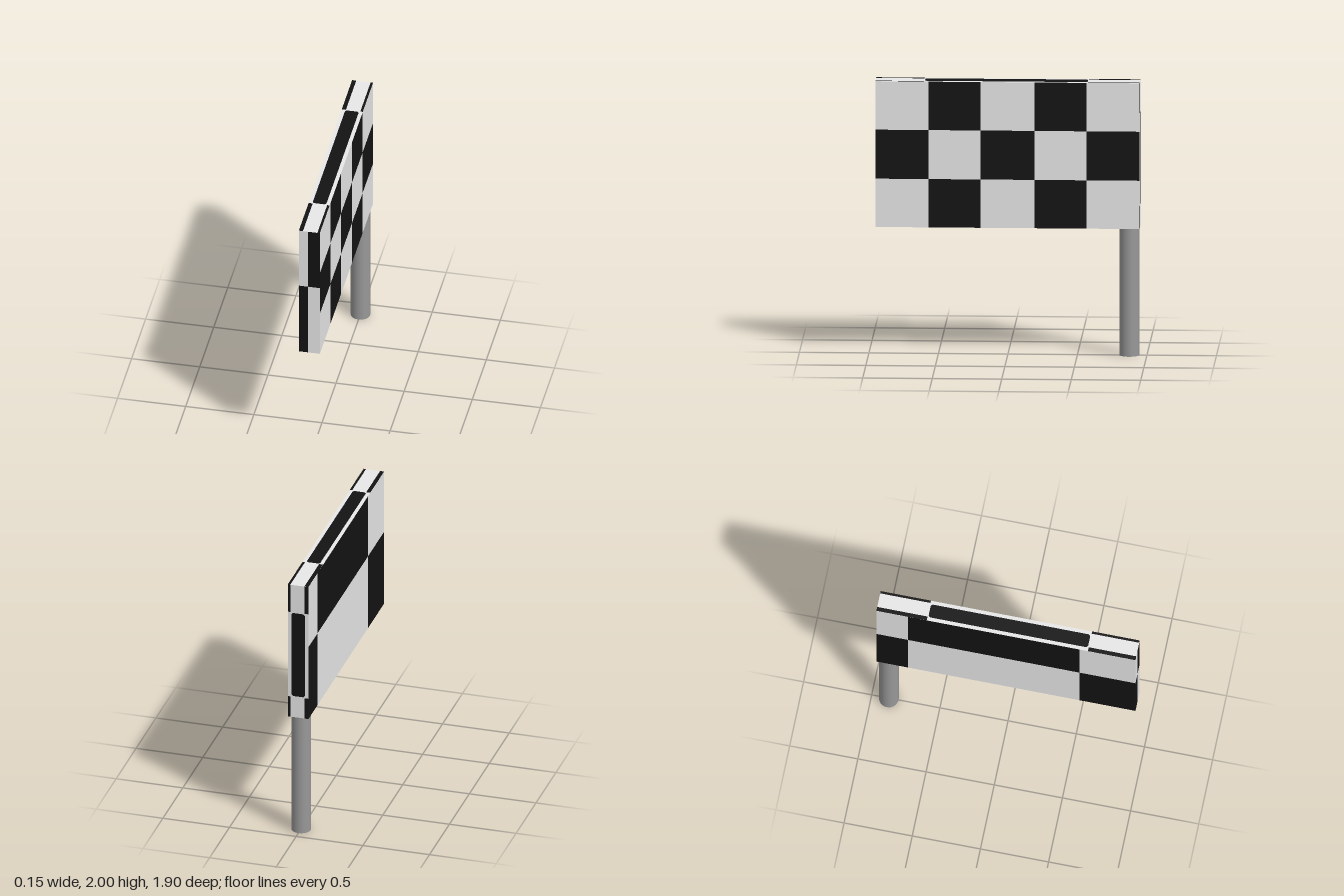
import * as THREE from 'three';

const white = new THREE.MeshStandardMaterial({ color: 0xf0f0f0 });
white.name = 'white';
const black = new THREE.MeshStandardMaterial({ color: 0x131313 });
black.name = 'black';
const grey = new THREE.MeshStandardMaterial({ color: 0x989898 });
grey.name = 'grey';

// Half sizes and vertical range of the board
const HX = 0.077, HZ = 0.95, BOTTOM = 0.935, TOP = 2;

function rect(parent, name, material, x0, x1, y0, y1, lift = 0) {
  const mesh = new THREE.Mesh(new THREE.PlaneGeometry(x1 - x0, y1 - y0), material);
  mesh.position.set((x0 + x1) / 2, (y0 + y1) / 2, lift);
  mesh.name = name;
  parent.add(mesh);
}

// Alternating squares between the given cuts, row 0 at the bottom
function checkerFace(name, xs, ys, firstBlack) {
  const face = new THREE.Group();
  face.name = name;
  for (let r = 0; r < ys.length - 1; r++) {
    for (let c = 0; c < xs.length - 1; c++) {
      const isBlack = ((r + c) % 2 === 0) === firstBlack;
      rect(face, isBlack ? 'blackSquare' : 'whiteSquare', isBlack ? black : white,
        xs[c], xs[c + 1], ys[r], ys[r + 1]);
    }
  }
  return face;
}

// Narrow edge: white, a black bar with clipped corners, black strips beyond its ends
function edgeFace(name, y0, y1, bar0, bar1, side) {
  const face = new THREE.Group();
  face.name = name;
  rect(face, 'whiteEdge', white, -HX, HX, y0, y1);
  const w = 0.05, c = 0.012;
  const bar = new THREE.Shape([
    [-w + c, bar0], [w - c, bar0], [w, bar0 + c], [w, bar1 - c],
    [w - c, bar1], [-w + c, bar1], [-w, bar1 - c], [-w, bar0 + c],
  ].map(([x, y]) => new THREE.Vector2(x, y)));
  const barMesh = new THREE.Mesh(new THREE.ShapeGeometry(bar), black);
  barMesh.position.z = 0.001;
  barMesh.name = 'blackBar';
  face.add(barMesh);
  for (const [a, b] of [[y0, bar0 - 0.006], [bar1 + 0.006, y1]]) {
    for (const [p, q] of [[-HX, -0.047], [0.059, HX]]) {
      rect(face, 'blackStrip', black, Math.min(p * side, q * side), Math.max(p * side, q * side), a, b, 0.001);
    }
  }
  return face;
}

export function createModel() {
  const model = new THREE.Group();
  model.name = 'checkeredFlag';
  const board = new THREE.Group();
  board.name = 'flagBoard';
  model.add(board);

  // Fine checker on the right-hand view side
  const fine = checkerFace('fineCheckerSide',
    [-HZ, -0.567, -0.193, 0.193, 0.57, HZ], [BOTTOM, 1.288, 1.646, TOP], false);
  fine.rotation.y = Math.PI / 2;
  fine.position.x = HX;

  // Coarse checker on the opposite side
  const coarse = checkerFace('coarseCheckerSide', [-HZ, -0.72, 0.54, HZ], [BOTTOM, 1.515, TOP], true);
  coarse.rotation.y = -Math.PI / 2;
  coarse.position.x = -HX;

  // Four-part front edge
  const front = checkerFace('frontEdge', [-HX, -0.01, HX], [BOTTOM, 1.515, TOP], true);
  front.position.z = HZ;

  // Barred edges: back, top and underside
  const back = edgeFace('backEdge', BOTTOM, TOP, 1.105, 1.775, -1);
  back.rotation.y = Math.PI;
  back.position.z = -HZ;

  const top = edgeFace('topEdge', -HZ, HZ, -0.595, 0.575, 1);
  top.rotation.x = -Math.PI / 2;
  top.position.y = TOP;

  const under = edgeFace('bottomEdge', -HZ, HZ, -0.8, -0.23, 1);
  under.rotation.x = Math.PI / 2;
  under.position.y = BOTTOM;

  board.add(fine, coarse, front, back, top, under);

  // Pole under the back end of the board
  const pole = new THREE.Mesh(new THREE.CylinderGeometry(0.071, 0.071, BOTTOM, 32), grey);
  pole.position.set(0, BOTTOM / 2, -0.874);
  pole.name = 'pole';
  model.add(pole);

  return model;
}
